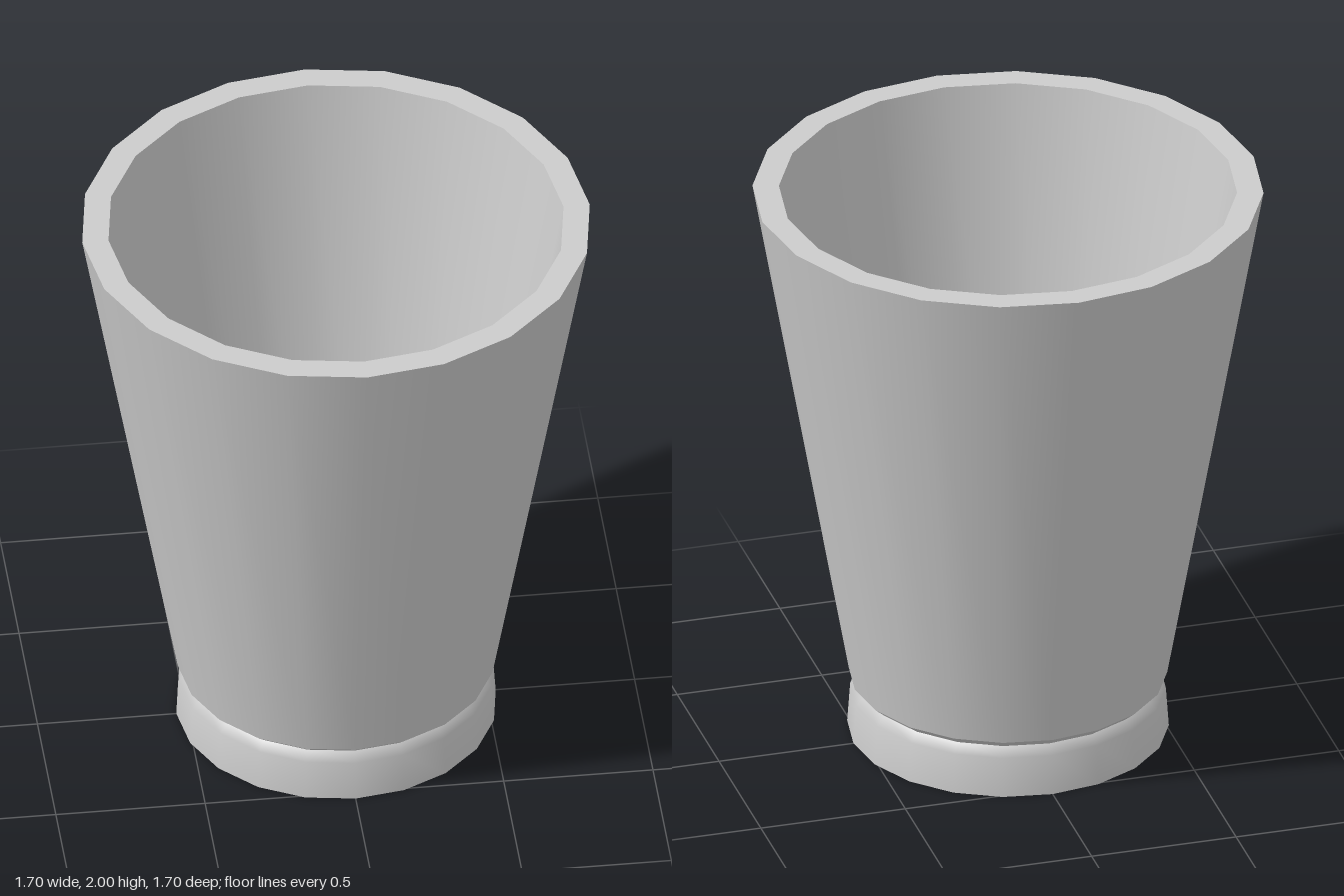
import * as THREE from 'three';

const SIDES = 20;

export function createModel() {
  const group = new THREE.Group();
  group.name = 'cup';
  const material = new THREE.MeshStandardMaterial({ color: 0xcccccc });

  // Each part is one smooth stretch of the profile, so the joints stay sharp
  const addLathe = (name, profile) => {
    const points = profile.map(([r, y]) => new THREE.Vector2(r, y));
    const mesh = new THREE.Mesh(new THREE.LatheGeometry(points, SIDES), material);
    mesh.name = name;
    group.add(mesh);
  };

  // Foot with a pinched groove above it
  addLathe('base', [[0, 0], [0.535, 0]]);
  addLathe('foot', [[0.535, 0], [0.525, 0.14], [0.495, 0.17]]);
  addLathe('groove', [[0.495, 0.17], [0.53, 0.2]]);

  // Tapered hollow body
  addLathe('outerWall', [[0.53, 0.2], [0.85, 2]]);
  addLathe('rim', [[0.85, 2], [0.762, 2]]);
  addLathe('innerWall', [[0.762, 2], [0.457, 0.24]]);
  addLathe('floor', [[0.457, 0.24], [0, 0.24]]);

  return group;
}
